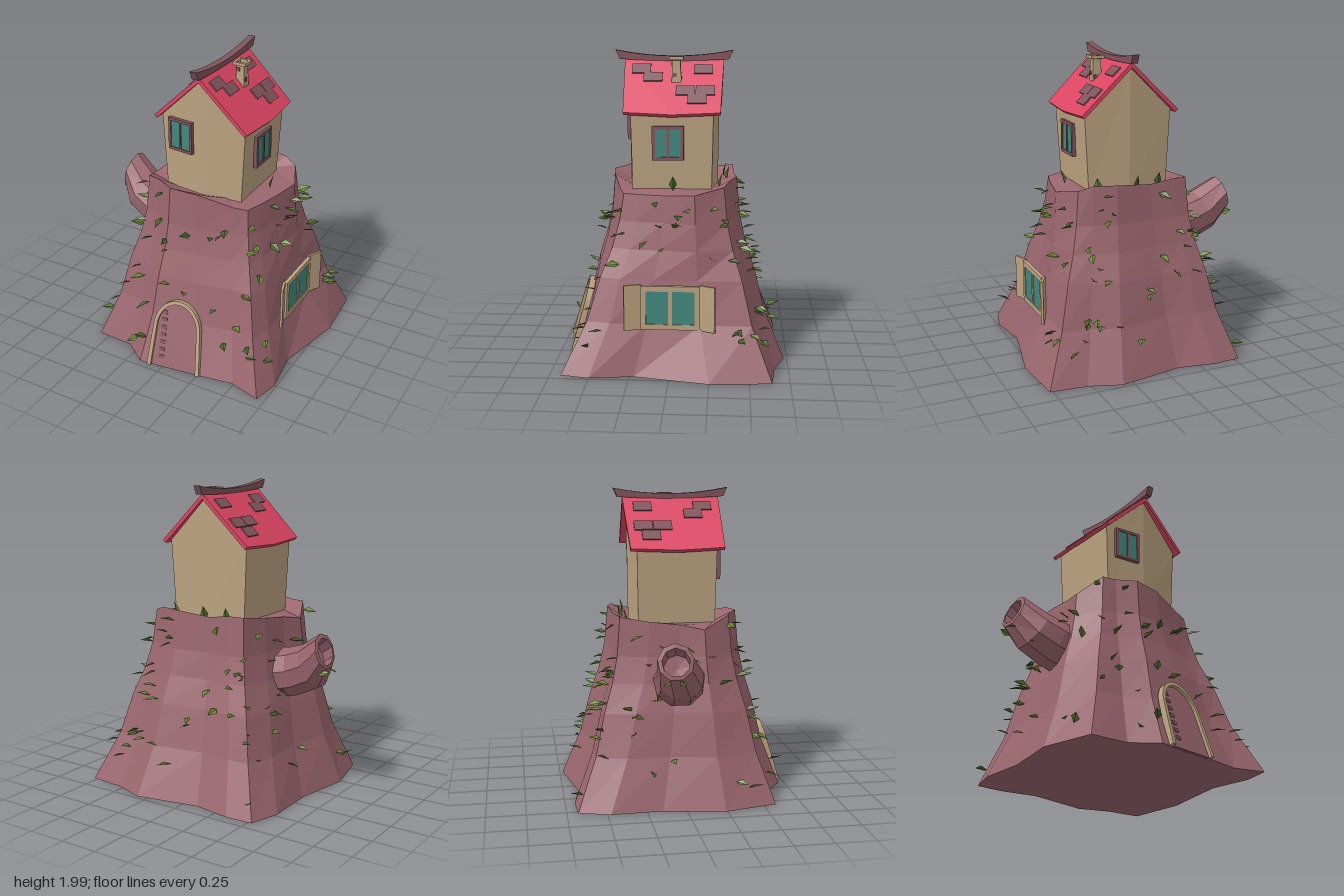
import * as THREE from 'three';

const mat = (color) => new THREE.MeshStandardMaterial({ color, flatShading: true, side: THREE.DoubleSide });
const BARK = mat(0x9a666e), DARK = mat(0x80545c), TAN = mat(0xbca380), RED = mat(0xdc4562);
const GLASS = mat(0x43877d), LEAF = mat(0x6c8a36), LEAF_DARK = mat(0x4c6a2a);

function mesh(name, geometry, material, parent, pos = [0, 0, 0]) {
  const m = new THREE.Mesh(geometry, material);
  m.name = name;
  m.position.set(...pos);
  parent.add(m);
  return m;
}
const box = (name, size, material, parent, pos) => mesh(name, new THREE.BoxGeometry(...size), material, parent, pos);

// Faceted skin over a stack of rings of [x, y, z] points
function loft(rings) {
  const out = [];
  for (let r = 0; r + 1 < rings.length; r++) {
    const A = rings[r], B = rings[r + 1], n = A.length;
    for (let i = 0; i < n; i++) {
      const j = (i + 1) % n;
      for (const tri of [[A[i], A[j], B[j]], [A[i], B[j], B[i]]]) {
        const t = new THREE.Triangle(...tri.map((p) => new THREE.Vector3(...p)));
        if (t.getArea() > 1e-8) out.push(...tri.flat());
      }
    }
  }
  const g = new THREE.BufferGeometry();
  g.setAttribute('position', new THREE.Float32BufferAttribute(out, 3));
  g.computeVertexNormals();
  return g;
}

// Trunk columns: foot x, foot z, rim x, rim z, rim y
const COLUMNS = [
  [-0.16, 0.71, -0.08, 0.41, 1.2], [0.25, 0.66, 0.10, 0.39, 1.19], [0.49, 0.62, 0.33, 0.33, 1.13],
  [0.70, 0.68, 0.42, 0.30, 1.12], [0.74, 0.50, 0.45, 0.20, 1.12], [0.70, 0.22, 0.49, 0.03, 1.12],
  [0.80, -0.25, 0.53, -0.15, 1.13], [0.77, -0.64, 0.45, -0.33, 1.17], [0.53, -0.66, 0.36, -0.37, 1.2],
  [0.32, -0.73, 0.22, -0.41, 1.2], [-0.10, -0.65, -0.02, -0.39, 1.18], [-0.35, -0.69, -0.18, -0.385, 1.2],
  [-0.53, -0.68, -0.27, -0.38, 1.2], [-0.59, -0.48, -0.31, -0.19, 1.17], [-0.58, -0.15, -0.33, 0, 1.15],
  [-0.65, 0.24, -0.37, 0.15, 1.12], [-0.57, 0.58, -0.29, 0.32, 1.2], [-0.32, 0.59, -0.2, 0.34, 1.2],
];
const LEVELS = [0.01, 0.33, 0.6, 0.78, 0.95, 1];
const SLOPE = [0, 0.41, 0.62, 0.81, 0.93, 1], STEEP = [0, 0.6, 0.8, 0.88, 0.95, 1];

function trunkPoint(column, level) {
  const [fx, fz, rx, rz, ry] = COLUMNS[column];
  const t = (fx > 0.78 ? STEEP : SLOPE)[level];
  return [fx + (rx - fx) * t, level === 5 ? ry : LEVELS[level], fz + (rz - fz) * t];
}

function addTrunk(root) {
  const rings = LEVELS.map((_, l) => COLUMNS.map((_, c) => trunkPoint(c, l)));
  const inner = rings[5].map(([x, , z]) => [0.08 + (x - 0.08) * 0.74, 1.14, z * 0.74]);
  const fan = (x, y, z) => COLUMNS.map(() => [x, y, z]);
  mesh('trunk', loft([fan(0.05, 0.01, 0), ...rings, inner, fan(0.08, 1.14, 0)]), BARK, root);

  // Hollow branch stump on the right-hand side
  const ring = (x, y, z, r, tilt) => Array.from({ length: 9 }, (_, i) => {
    const a = (i / 9) * Math.PI * 2, u = Math.cos(a) * r, v = Math.sin(a) * r;
    return [x + u * Math.sin(tilt), y + u * Math.cos(tilt), z + v];
  });
  mesh('branchStump', loft([
    ring(-0.32, 0.78, -0.02, 0.165, 0.1), ring(-0.45, 0.81, -0.02, 0.16, 0.3),
    ring(-0.575, 0.865, -0.04, 0.15, 0.5), ring(-0.69, 0.985, -0.09, 0.115, 0.3),
    ring(-0.695, 0.985, -0.09, 0.088, 0.3), ring(-0.62, 0.93, -0.07, 0.085, 0.4),
    ring(-0.61, 0.92, -0.07, 0, 0.4),
  ]), BARK, root);
}

// Two-pane window facing +z
function addWindow(name, w, h, rim, frame, parent, pos, turn) {
  const g = new THREE.Group();
  g.name = name;
  g.position.set(...pos);
  g.rotation.y = turn;
  box('windowBack', [w, h, 0.012], frame, g);
  for (const s of [-1, 1]) {
    box('windowPane', [(w - rim * 2.7) / 2, h - rim * 2, 0.008], GLASS, g, [s * (w / 4 - rim * 0.325), 0, 0.008]);
    box('frameSide', [rim, h, 0.025], frame, g, [s * (w - rim) / 2, 0, 0.006]);
    box('frameRail', [w, rim, 0.025], frame, g, [0, s * (h - rim) / 2, 0.006]);
  }
  box('windowBar', [rim * 0.7, h, 0.025], frame, g, [0, 0, 0.006]);
  parent.add(g);
}

function addDoor(root) {
  const door = new THREE.Group();
  door.name = 'door';
  door.position.set(0.085, 0.012, 0.68);
  door.rotation.set(-0.28, 0.13, 0, 'YXZ');
  const arch = (w, h) => {
    const s = new THREE.Shape();
    s.moveTo(-w, 0).lineTo(-w * 0.88, 0.28);
    s.absellipse(0, 0.28, w * 0.88, h - 0.28, Math.PI, 0, true, 0);
    s.lineTo(w, 0);
    return s.getPoints(8);
  };
  const extrude = (pts, depth) =>
    new THREE.ExtrudeGeometry(new THREE.Shape(pts), { depth, bevelEnabled: false });
  mesh('doorArch', extrude([...arch(0.187, 0.48), ...arch(0.16, 0.455).reverse()], 0.04), TAN, door, [0, 0, -0.015]);
  mesh('doorPanel', extrude(arch(0.162, 0.457), 0.02), BARK, door, [0, 0, -0.015]);
  for (let i = 0; i < 7; i++) box('doorStud', [0.035, 0.025, 0.008], DARK, door, [-0.095, 0.07 + i * 0.052, 0.005]);
  root.add(door);
}

function addHouse(root) {
  const house = new THREE.Group();
  house.name = 'house';
  // Walls bow outwards along the middle of each gable
  const hex = (l, r, y, peak, d) => [[l, y, d], [0.08, peak, d + 0.035], [r, y, d],
    [r, y, -d], [0.08, peak, -d - 0.035], [l, y, -d]];
  mesh('walls', loft([hex(-0.19, 0.345, 1.1, 1.1, 0.25), hex(-0.215, 0.375, 1.64, 1.92, 0.26)]), TAN, house);

  // Roof slopes with loose shingles: [distance from ridge in x, z]
  const shingles = {
    '-1': [[0.25, -0.16], [0.19, -0.205], [0.19, -0.08], [0.07, -0.195], [0.118, 0.13], [0.068, 0.2]],
    '1': [[0.07, -0.19], [0.2, -0.205], [0.25, -0.155], [0.2, -0.08], [0.118, 0.13], [0.068, 0.207]],
  };
  for (const s of [-1, 1]) {
    const slope = new THREE.Group();
    slope.name = 'roofSlope';
    slope.position.set(0.08, 1.945, 0);
    slope.rotation.y = s < 0 ? Math.PI : 0;
    const pitch = new THREE.Group();
    pitch.rotation.z = -0.765;
    slope.add(pitch);
    const g = new THREE.BoxGeometry(0.455, 0.025, 0.64, 1, 1, 2).translate(0.2275, -0.012, 0);
    const p = g.attributes.position;
    for (let i = 0; i < p.count; i++) { // eave bows out in the middle
      if (p.getX(i) > 0.3) {
        if (Math.abs(p.getZ(i)) < 0.1) p.setX(i, p.getX(i) + 0.018);
        else p.setZ(i, p.getZ(i) * 0.95);
      }
    }
    mesh('roof', g, RED, pitch);
    for (const [d, z] of shingles[s]) box('shingle', [0.075, 0.014, 0.12], DARK, pitch, [d / 0.721, 0.003, s * z]);
    house.add(slope);
  }

  // Ridge beam sweeping up at both ends
  const beam = new THREE.BoxGeometry(0.045, 0.035, 0.76, 1, 1, 8);
  const b = beam.attributes.position;
  for (let i = 0; i < b.count; i++) {
    const z = b.getZ(i), top = b.getY(i) > 0;
    b.setY(i, top ? 1.962 + 0.038 * (z / 0.38) ** 2 : 1.93 + 0.012 * (z / 0.38) ** 2);
    if (!top) b.setZ(i, z * 0.93);
  }
  mesh('ridgeBeam', beam, DARK, house, [0.08, 0, 0]);

  // Chimney with open square cap
  const square = (r, y) => [[-r, y, r], [r, y, r], [r, y, -r], [-r, y, -r]];
  mesh('chimney', loft([square(0.032, 1.72), square(0.026, 1.94), square(0.045, 1.945), square(0.045, 1.965),
    square(0.028, 1.965), square(0.026, 1.88), square(0, 1.88)]), TAN, house, [0.2, 0, -0.02]);
  for (const [x, y, z] of [[0.223, 1.85, -0.01], [0.185, 1.915, 0.003], [0.21, 1.83, -0.043]])
    box('chimneyBrick', [0.024, 0.024, 0.02], DARK, house, [x, y, z]);

  addWindow('frontWindow', 0.18, 0.215, 0.018, DARK, house, [-0.063, 1.522, 0.285], -0.12);
  addWindow('sideWindow', 0.2, 0.215, 0.02, DARK, house, [0.37, 1.435, 0.025], Math.PI / 2);
  root.add(house);
}

function addTrunkWindow(root) {
  addWindow('trunkWindow', 0.37, 0.28, 0.034, TAN, root, [0.638, 0.445, -0.005], Math.PI / 2);
  // Angled shutters either side
  const shutter = (z, x, w, turn) => { box('shutter', [0.016, 0.29, w], TAN, root, [x, 0.445, z]).rotation.y = turn; };
  shutter(-0.235, 0.66, 0.11, -0.48);
  shutter(0.23, 0.65, 0.11, 0.32);
}

function addLeaves(root) {
  let seed = 11;
  const rnd = () => ((seed = (seed * 16807) % 2147483647) / 2147483647);
  // Folded leaf pointing along +z
  const leaf = new THREE.BufferGeometry();
  leaf.setAttribute('position', new THREE.Float32BufferAttribute(
    [0, 0, 0, 0.26, 0.1, 0.4, 0, 0, 1, 0, 0, 0, 0, 0, 1, -0.26, 0.1, 0.4], 3));
  leaf.computeVertexNormals();
  const leaves = new THREE.Group();
  leaves.name = 'leaves';
  const add = (x, y, z, dir, size) => {
    const m = mesh('leaf', leaf, rnd() < 0.6 ? LEAF : LEAF_DARK, leaves, [x, y, z]);
    m.lookAt(x + dir[0], y + dir[1], z + dir[2]);
    m.rotateZ((rnd() - 0.5) * 1.5);
    m.scale.setScalar(size);
  };
  // Scatter over the bark, keeping door and window clear
  const mix = (a, b, t) => a.map((k, n) => k + (b[n] - k) * t);
  for (let i = 0; i < 110; i++) {
    const c = Math.floor(rnd() * 18), d = (c + 1) % 18, h = 0.1 + rnd() * 1.02, u = rnd();
    const l = Math.max(0, LEVELS.findIndex((y) => y > h) - 1) % 5 || (h > 1 ? 4 : 0);
    const v = Math.min(1, (h - LEVELS[l]) / ((l === 4 ? 1.13 : LEVELS[l + 1]) - LEVELS[l]));
    const [x, y, z] = mix(mix(trunkPoint(c, l), trunkPoint(d, l), u), mix(trunkPoint(c, l + 1), trunkPoint(d, l + 1), u), v);
    if ((z > 0.4 && x > -0.14 && x < 0.3 && y < 0.52) || (x > 0.5 && Math.abs(z) < 0.34 && y < 0.64)) continue;
    const a = Math.atan2(x, z) + (rnd() - 0.5) * 1.2;
    add(x, y, z, [Math.sin(a), (rnd() - 0.4) * 0.8, Math.cos(a)], 0.075 + rnd() * 0.035);
  }
  // Sprigs on the stump and around the house foot
  for (const [x, y, z] of [[-0.68, 0.86, -0.03], [-0.66, 0.85, -0.15], [-0.55, 0.75, 0.02], [-0.4, 0.93, 0.1]])
    add(x, y, z, [-0.8, -0.2 + rnd() * 0.3, rnd() - 0.5], 0.1);
  for (const [x, z] of [[0.42, -0.01], [0.3, -0.3], [-0.1, -0.32], [0.05, -0.34]])
    add(x, 1.14, z, [x * 0.5, 0.9, z * 0.5], 0.1);
  root.add(leaves);
}

export function createModel() {
  const root = new THREE.Group();
  root.name = 'treeStumpHouse';
  addTrunk(root);
  addDoor(root);
  addTrunkWindow(root);
  addHouse(root);
  addLeaves(root);
  return root;
}
